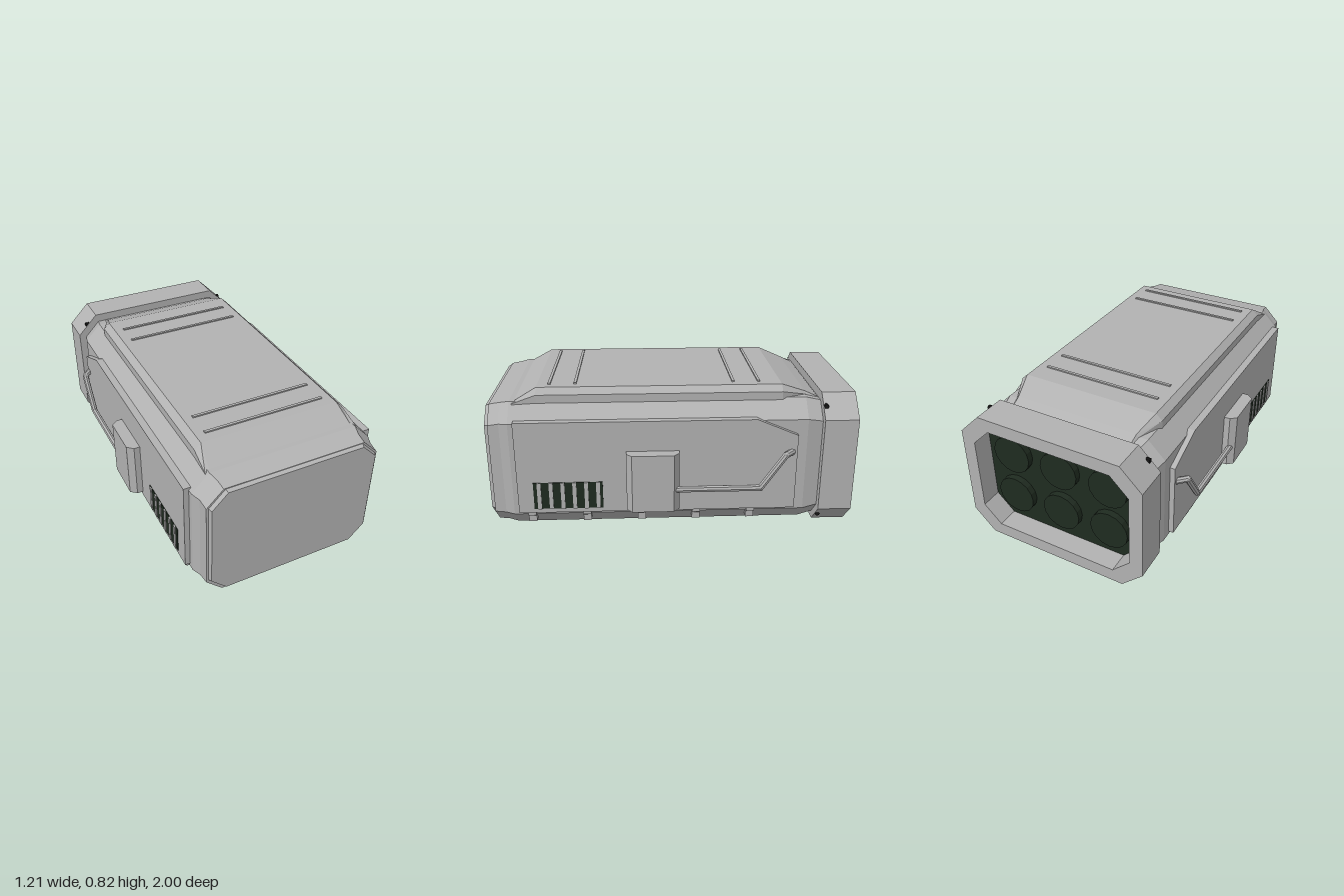
import * as THREE from 'three';

const grey = new THREE.MeshStandardMaterial({ color: 0xb2b2b2 });
grey.name = 'hull grey';
const dark = new THREE.MeshStandardMaterial({ color: 0x1f2b20 });
dark.name = 'dark green';
const black = new THREE.MeshStandardMaterial({ color: 0x161616 });
black.name = 'bolt black';

// Flat-shaded copy of a geometry
function flat(geo) {
  const g = geo.index ? geo.toNonIndexed() : geo;
  g.computeVertexNormals();
  return g;
}

// Mirror across x, keeping faces outward
function mirrorX(geo) {
  const g = geo.clone();
  const p = g.attributes.position;
  for (let i = 0; i < p.count; i += 3) {
    const v = [0, 2, 1].map(k => new THREE.Vector3().fromBufferAttribute(p, i + k));
    v.forEach((q, k) => p.setXYZ(i + k, -q.x, q.y, q.z));
  }
  g.computeVertexNormals();
  return g;
}

// Octagon outline: half width, bottom, top, corner cut (counterclockwise)
function octagon(w, b, t, c) {
  return [[w - c, b], [w, b + c], [w, t - c], [w - c, t],
    [c - w, t], [-w, t - c], [-w, b + c], [c - w, b]];
}

// Skin cross-sections running from front to back, with end caps
function loft(sections) {
  const pos = [];
  const rings = sections.map(([z, pts]) => pts.map(([x, y]) => [x, y, z]));
  const n = rings[0].length, last = rings[rings.length - 1];
  for (let i = 0; i < rings.length - 1; i++) {
    for (let j = 0; j < n; j++) {
      const k = (j + 1) % n;
      const a = rings[i][j], b = rings[i][k], c = rings[i + 1][k], d = rings[i + 1][j];
      pos.push(...a, ...d, ...b, ...d, ...c, ...b);
    }
  }
  for (let j = 1; j < n - 1; j++) {
    pos.push(...rings[0][0], ...rings[0][j], ...rings[0][j + 1]);
    pos.push(...last[0], ...last[j + 1], ...last[j]);
  }
  const g = new THREE.BufferGeometry();
  g.setAttribute('position', new THREE.Float32BufferAttribute(pos, 3));
  g.computeVertexNormals();
  return g;
}

const toShape = pts => new THREE.Shape(pts.map(p => new THREE.Vector2(...p)));
const extrude = (shape, depth) => flat(new THREE.ExtrudeGeometry(shape, { depth, bevelEnabled: false }));
const box = (w, h, d, x, y, z) => flat(new THREE.BoxGeometry(w, h, d)).translate(x, y, z);

// Octagonal bar between two points
function bar(a, b, r) {
  const A = new THREE.Vector3(...a), B = new THREE.Vector3(...b);
  const dir = B.clone().sub(A);
  const g = new THREE.CylinderGeometry(r, r, dir.length(), 8);
  g.applyQuaternion(new THREE.Quaternion().setFromUnitVectors(new THREE.Vector3(0, 1, 0), dir.normalize()));
  return flat(g.translate(...A.add(B).multiplyScalar(0.5).toArray()));
}

export function createModel() {
  const model = new THREE.Group();
  model.name = 'container';
  const add = (name, geo, mat = grey) => {
    const m = new THREE.Mesh(geo, mat);
    m.name = name;
    model.add(m);
  };
  const addPair = (name, geo, mat = grey) => {
    add(name + 'Left', geo, mat);
    add(name + 'Right', mirrorX(geo), mat);
  };

  // Main octagonal hull
  add('hull', loft([
    [0.98, octagon(0.485, 0.037, 0.725, 0.09)],
    [0.92, octagon(0.49, 0.033, 0.735, 0.09)],
    [0.87, octagon(0.51, 0.025, 0.745, 0.095)],
    [-0.73, octagon(0.51, 0.025, 0.745, 0.095)],
    [-0.82, octagon(0.485, 0.04, 0.72, 0.09)]]));

  // Raised front panel
  add('frontPanel', loft([
    [1, octagon(0.465, 0.06, 0.713, 0.085)],
    [0.975, octagon(0.475, 0.05, 0.723, 0.088)]]));

  // Roof slab, sloping down at both ends
  const roof = (w1, y1, w2, y2) =>
    [[w1, 0.7], [w1, y1], [w2, y2], [-w2, y2], [-w1, y1], [-w1, 0.7]];
  add('roof', loft([
    [0.855, roof(0.43, 0.735, 0.405, 0.738)],
    [0.725, roof(0.425, 0.78, 0.39, 0.813)],
    [-0.6, roof(0.425, 0.78, 0.39, 0.813)],
    [-0.735, roof(0.365, 0.745, 0.353, 0.76)],
    [-0.81, roof(0.36, 0.715, 0.35, 0.725)]]));
  for (const z of [0.66, 0.52, -0.34, -0.48]) {
    add('roofRib', box(0.68, 0.012, 0.015, 0, 0.814, z));
  }

  // Hollow rear rim
  const rim = toShape(octagon(0.53, 0, 0.77, 0.12));
  const opening = octagon(0.455, 0.075, 0.695, 0.1);
  rim.holes.push(toShape(opening));
  add('rearRim', extrude(rim, 0.185).translate(0, 0, -1));

  // Recessed dark back with round nozzles
  add('rearPlate', extrude(toShape(opening), 0.009).translate(0, 0, -0.885), dark);
  for (const x of [-0.29, 0, 0.29]) {
    for (const y of [0.25, 0.52]) {
      add('rearNozzle', flat(new THREE.CylinderGeometry(0.11, 0.11, 0.04, 16))
        .rotateX(Math.PI / 2).translate(x, y, -0.9), dark);
    }
  }

  // Side panel with a cut upper rear corner
  const panel = toShape([[-0.84, 0.14], [0.675, 0.14], [0.675, 0.57], [0.45, 0.665], [-0.84, 0.665]]);
  addPair('sidePanel', extrude(panel, 0.04).rotateY(Math.PI / 2).translate(0.498, 0, 0));

  // Dark vent with slats
  addPair('vent', box(0.006, 0.155, 0.375, 0.539, 0.243, 0.567), dark);
  for (let i = 0; i < 6; i++) {
    addPair('ventSlat', box(0.015, 0.155, 0.021, 0.54, 0.243, 0.724 - i * 0.0638));
  }

  // Side box with bevelled front and rear edges
  const boxPlan = toShape([[0.53, -0.25], [0.572, -0.25], [0.606, -0.22],
    [0.606, 0.005], [0.572, 0.035], [0.53, 0.035]]);
  addPair('sideBox', extrude(boxPlan, 0.33).rotateX(-Math.PI / 2).translate(0, 0.165, 0));

  // Bent handle
  const path = [[0.578, 0.285, -0.01], [0.578, 0.285, -0.475], [0.578, 0.475, -0.605], [0.53, 0.475, -0.65]];
  for (let i = 0; i < 3; i++) {
    addPair('handleBar', bar(path[i], path[i + 1], 0.018));
    if (i) addPair('handleJoint', flat(new THREE.SphereGeometry(0.018, 8, 6)).translate(...path[i]));
  }

  // Brackets along the lower edge
  const bracket = toShape([[0.44, 0.073], [0.51, 0.073], [0.51, 0.108], [0.53, 0.12], [0.53, 0.145], [0.44, 0.145]]);
  for (let i = 0; i < 5; i++) {
    addPair('bracket', extrude(bracket, 0.044).translate(0, 0, 0.75 - i * 0.301));
  }

  // Small bolts at the rim corners
  for (const y of [0.71, 0.063]) {
    addPair('rimBolt', bar([0.44, y, -0.829], [0.48, y, -0.829], 0.013), black);
  }
  return model;
}
